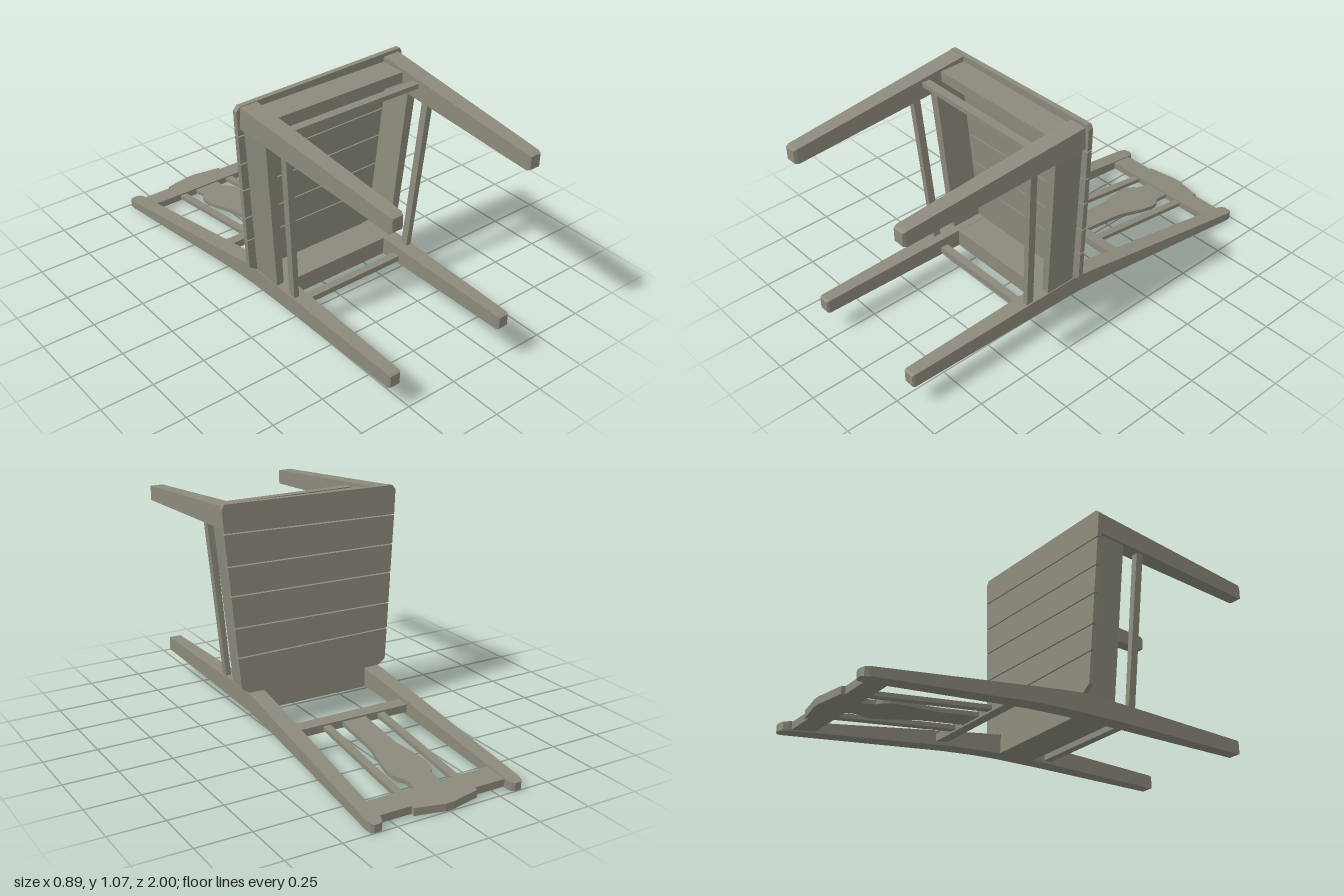
import * as THREE from 'three';

const wood = new THREE.MeshStandardMaterial({ color: 0x8c8a7b });
wood.name = 'grey brown wood';

// Rectangular sections [w, u0, u1, v0, v1] joined along w (ascending), hard edged
function loft(sections) {
  const rings = sections.map(([w, u0, u1, v0, v1]) =>
    [[u0, v0, w], [u1, v0, w], [u1, v1, w], [u0, v1, w]]);
  const pos = [];
  const quad = (a, b, c, d) => [a, b, c, a, c, d].forEach(p => pos.push(...p));
  for (let i = 0; i < rings.length - 1; i++) {
    const a = rings[i], b = rings[i + 1];
    for (let k = 0; k < 4; k++) quad(a[k], a[(k + 1) % 4], b[(k + 1) % 4], b[k]);
  }
  const first = rings[0], last = rings[rings.length - 1];
  quad(first[3], first[2], first[1], first[0]);
  quad(...last);
  const g = new THREE.BufferGeometry();
  g.setAttribute('position', new THREE.Float32BufferAttribute(pos, 3));
  g.computeVertexNormals();
  return g;
}

const mirror = sections => sections.map(([w, u0, u1, v0, v1]) => [w, -u1, -u0, v0, v1]);

// Move vertices by a rule and refresh the normals
function warp(g, rule) {
  const p = g.attributes.position;
  for (let i = 0; i < p.count; i++) p.setXYZ(i, ...rule(p.getX(i), p.getY(i), p.getZ(i)));
  g.computeVertexNormals();
  return g;
}

function extrude(points, depth) {
  const shape = new THREE.Shape(points.map(p => new THREE.Vector2(...p)));
  return new THREE.ExtrudeGeometry(shape, { depth, bevelEnabled: false });
}

export function createModel() {
  const chair = new THREE.Group();
  chair.name = 'chairLyingOnBack';
  const add = (name, geometry) => {
    const m = new THREE.Mesh(geometry, wood);
    m.name = name;
    chair.add(m);
    return m;
  };
  const box = (name, x0, x1, y0, y1, z0, z1) =>
    add(name, new THREE.BoxGeometry(x1 - x0, y1 - y0, z1 - z0))
      .position.set((x0 + x1) / 2, (y0 + y1) / 2, (z0 + z1) / 2);

  // Legs, running along z: [z, x0, x1, y0, y1]
  const frontLeg = [
    [0.1, 0.34, 0.425, 0.957, 1.06],
    [0.985, 0.328, 0.39, 0.905, 0.976],
    [1.0, 0.334, 0.384, 0.911, 0.97]];
  const backLeg = [
    [-1.0, 0.328, 0.356, 0.006, 0.041],
    [-0.99, 0.316, 0.368, 0.004, 0.044],
    [-0.965, 0.308, 0.374, 0.008, 0.049],
    [-0.2, 0.277, 0.354, 0.095, 0.165],
    [-0.05, 0.271, 0.348, 0.106, 0.188],
    [0.06, 0.267, 0.345, 0.112, 0.202],
    [0.3, 0.268, 0.343, 0.117, 0.2],
    [0.96, 0.276, 0.334, 0.121, 0.187],
    [0.97, 0.281, 0.329, 0.126, 0.182]];

  // Side rails and stretchers, running along y: [y, x0, x1, -z1, -z0]
  const sideRail = [
    [0.18, 0.303, 0.338, -0.226, -0.07],
    [0.975, 0.362, 0.408, -0.252, -0.1]];
  const sideStretcher = [
    [0.18, 0.308, 0.333, -0.343, -0.308],
    [0.965, 0.365, 0.397, -0.375, -0.34]];

  for (const [side, flip] of [['left', s => s], ['right', mirror]]) {
    add(side + 'FrontLeg', loft(flip(frontLeg)));
    add(side + 'BackLeg', loft(flip(backLeg)));
    add(side + 'SeatRail', loft(flip(sideRail)).rotateX(-Math.PI / 2));
    add(side + 'Stretcher', loft(flip(sideStretcher)).rotateX(-Math.PI / 2));
  }

  // Front and back rails and stretchers
  box('frontSeatRail', -0.36, 0.36, 0.985, 1.035, 0.1, 0.235);
  box('frontStretcher', -0.35, 0.35, 1.0, 1.022, 0.3, 0.34);
  box('backSeatRail', -0.275, 0.275, 0.115, 0.2, 0.07, 0.233);
  box('backStretcher', -0.275, 0.275, 0.13, 0.157, 0.302, 0.34);

  // Seat planks with narrow, slightly skewed gaps
  const halfWidth = y => 0.381 + (y - 0.23) * 0.078;
  const gaps = [[0.379, -0.003], [0.51, 0.012], [0.657, 0.014], [0.792, 0.014], [0.934, 0.022]];
  const edge = ([y, skew], offset) => [-1, 1].map(s => {
    const yy = y + offset + s * skew / 2;
    return [s * halfWidth(yy), yy];
  });
  const gap = 0.003;
  for (let i = 0; i <= gaps.length; i++) {
    const lower = i > 0 ? edge(gaps[i - 1], gap) : [
      [-0.381, 0.232], [-0.345, 0.206], [-0.268, 0.204], [-0.268, 0.112],
      [0.268, 0.112], [0.268, 0.204], [0.345, 0.206], [0.381, 0.232]];
    const upper = i < gaps.length ? edge(gaps[i], -gap).reverse() : [
      [0.443, 1.055], [0.432, 1.075], [-0.425, 1.062], [-0.443, 1.042]];
    add('seatPlank' + (i + 1), warp(extrude([...lower, ...upper], 0.024),
      (x, y, z) => [x, y, z + 0.054 + (y - 0.2) * 0.0345]));
  }

  // Backrest parts: outline (x, height) laid onto the reclining back plane
  const backPart = (name, points, thickness) =>
    add(name, warp(extrude(points, thickness),
      (x, s, t) => [x, 0.123 + (0.25 - s) * 0.132 + t - thickness / 2, -s]));
  const symmetric = half => [...half, ...half.slice().reverse().map(([x, s]) => [-x, s])];

  backPart('topRail', [
    [-0.315, 0.85], [0.315, 0.85], [0.318, 0.955], [0.155, 0.955], [0.155, 0.972],
    [0.06, 0.99], [0.02, 0.999], [-0.02, 0.999], [-0.06, 0.99],
    [-0.155, 0.972], [-0.155, 0.955], [-0.318, 0.955]], 0.034);
  backPart('lowerBackRail', [[-0.287, 0.225], [0.287, 0.225], [0.29, 0.282], [-0.29, 0.282]], 0.036);
  backPart('splat', symmetric([
    [0.06, 0.275], [0.06, 0.46], [0.063, 0.52], [0.078, 0.59], [0.092, 0.65], [0.098, 0.695],
    [0.095, 0.73], [0.084, 0.757], [0.068, 0.775], [0.064, 0.8], [0.064, 0.86]]), 0.02);
  for (const [side, x] of [['left', 0.14], ['right', -0.14]])
    backPart(side + 'Spindle', [
      [x - 0.018, 0.275], [x + 0.018, 0.275], [x + 0.018, 0.86], [x - 0.018, 0.86]], 0.02);

  return chair;
}
